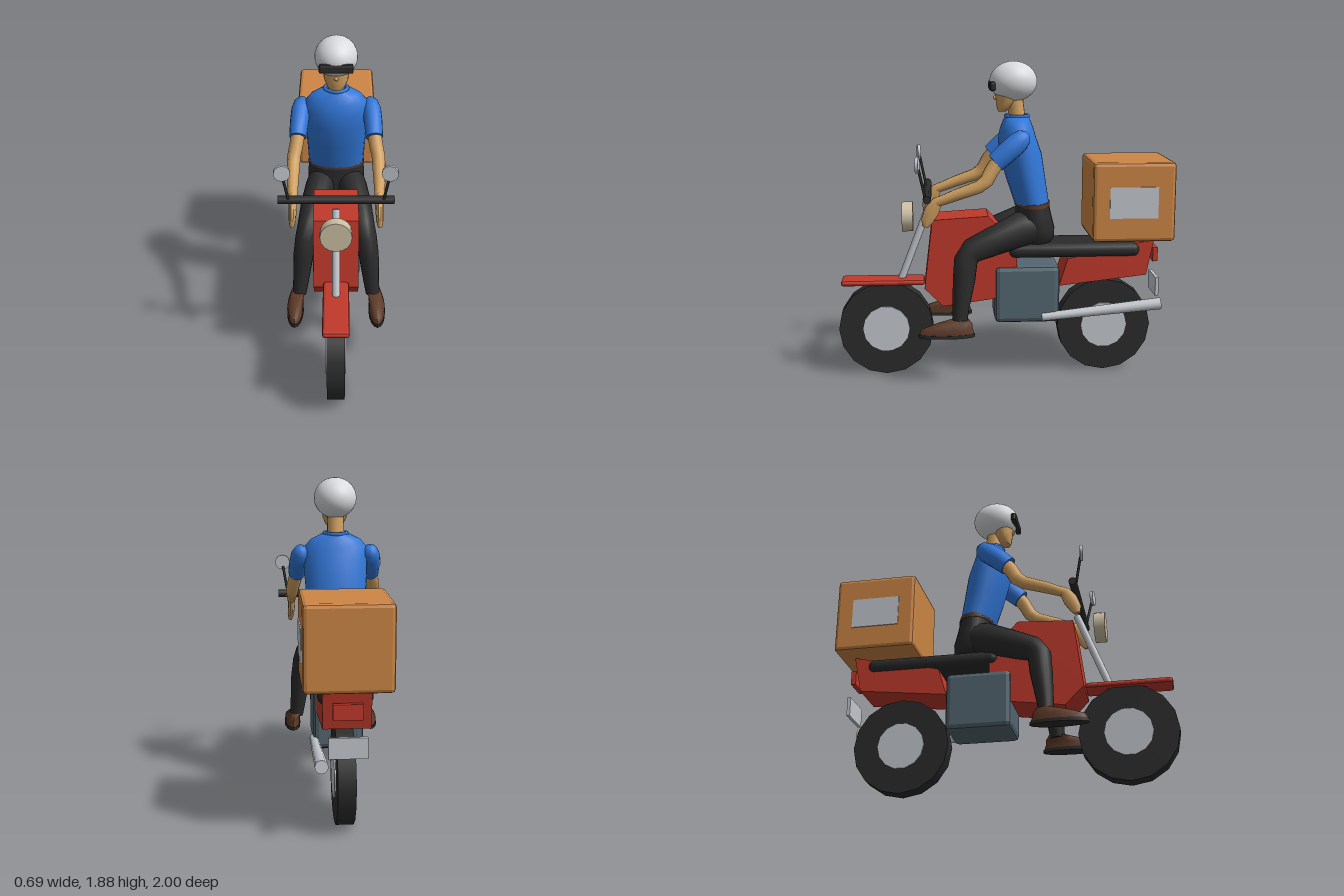
import * as THREE from 'three';
import { toCreasedNormals } from 'three/addons/utils/BufferGeometryUtils.js';
import { RoundedBoxGeometry } from 'three/addons/geometries/RoundedBoxGeometry.js';

const paint = (name, color) => {
  const m = new THREE.MeshStandardMaterial({ color });
  m.name = name;
  return m;
};

export function createModel() {
  const red = paint('red paint', 0xc0392b), black = paint('black', 0x2b2b2b);
  const silver = paint('silver', 0xc4c8ce), white = paint('helmet white', 0xd9dbde);
  const slate = paint('slate', 0x546670), cream = paint('lamp cream', 0xccc0a4);
  const orange = paint('cargo orange', 0xcd8645), blue = paint('shirt blue', 0x3177d8);
  const skin = paint('skin', 0xd0a060), brown = paint('shoe brown', 0x5c3a28);

  const root = new THREE.Group();
  const add = (name, geo, mat, x = 0, y = 0, z = 0) => {
    const m = new THREE.Mesh(geo, mat);
    m.name = name;
    m.position.set(x, y, z);
    root.add(m);
    return m;
  };
  const box = (w, h, d) => new THREE.BoxGeometry(w, h, d);
  const chamferBox = (w, h, d, r) => toCreasedNormals(new RoundedBoxGeometry(w, h, d, 1, r), 0.1);
  // Cylinder between two points
  const rod = (name, a, b, r0, r1, mat, sides = 12) => {
    const p = new THREE.Vector3(...a), q = new THREE.Vector3(...b);
    const dir = q.clone().sub(p);
    const m = add(name, new THREE.CylinderGeometry(r1, r0, dir.length(), sides), mat);
    m.position.copy(p).add(q).multiplyScalar(0.5);
    m.quaternion.setFromUnitVectors(new THREE.Vector3(0, 1, 0), dir.normalize());
    return m;
  };
  // Side profile of [z, y] points, extruded across x
  const slab = (name, pts, width, mat) => {
    const shape = new THREE.Shape(pts.map(([z, y]) => new THREE.Vector2(-z, y)));
    const geo = new THREE.ExtrudeGeometry(shape, { depth: width, bevelEnabled: false });
    geo.translate(0, 0, -width / 2).rotateY(Math.PI / 2);
    return add(name, geo, mat);
  };
  // Skin over elliptical rings [x, y, z, rx, rz], listed bottom to top
  const loft = (name, rings, mat, level = false, sides = 16, crease = 0.9) => {
    const up = new THREE.Vector3(0, 1, 0), pos = [], idx = [];
    const centres = rings.map(r => new THREE.Vector3(r[0], r[1], r[2]));
    const last = rings.length - 1;
    rings.forEach((r, j) => {
      const dir = centres[Math.min(j + 1, last)].clone().sub(centres[Math.max(j - 1, 0)]).normalize();
      const q = new THREE.Quaternion();
      if (!level) q.setFromUnitVectors(up, dir);
      for (let i = 0; i < sides; i++) {
        const a = (i / sides) * Math.PI * 2;
        const v = new THREE.Vector3(Math.cos(a) * r[3], 0, Math.sin(a) * r[4]);
        pos.push(...v.applyQuaternion(q).add(centres[j]).toArray());
      }
    });
    const bottom = pos.length / 3;
    pos.push(...centres[0].toArray(), ...centres[last].toArray());
    for (let i = 0; i < sides; i++) {
      const n = (i + 1) % sides;
      for (let j = 0; j < last; j++) {
        const a = j * sides + i, b = j * sides + n;
        idx.push(a, a + sides, b, b, a + sides, b + sides);
      }
      idx.push(bottom, i, n, bottom + 1, last * sides + n, last * sides + i);
    }
    const geo = new THREE.BufferGeometry();
    geo.setAttribute('position', new THREE.Float32BufferAttribute(pos, 3));
    geo.setIndex(idx);
    return add(name, toCreasedNormals(geo, crease), mat);
  };

  // Wheels
  for (const [name, z] of [['front', 0.715], ['rear', -0.61]]) {
    const tyre = new THREE.CylinderGeometry(0.285, 0.285, 0.1, 16).rotateZ(Math.PI / 2);
    const hub = new THREE.CylinderGeometry(0.14, 0.14, 0.116, 14).rotateZ(Math.PI / 2);
    add(name + 'Tyre', tyre, black, 0, 0.285, z);
    add(name + 'Hub', hub, silver, 0, 0.285, z);
  }

  // Bodywork
  add('frontFender', chamferBox(0.15, 0.036, 0.5, 0.015), red, 0, 0.573, 0.73);
  slab('frontBody', [[0.43, 0.965], [0.1, 0.985], [0, 0.88], [-0.07, 0.76], [-0.07, 0.5],
    [0.37, 0.44], [0.48, 0.55]], 0.26, red);
  slab('tailBody', [[-0.375, 0.72], [-0.325, 0.555], [-0.85, 0.615], [-0.895, 0.832]], 0.26, red);
  add('engineBlock', chamferBox(0.29, 0.35, 0.39, 0.03), slate, 0, 0.505, -0.133);
  add('seat', toCreasedNormals(new RoundedBoxGeometry(0.3, 0.085, 0.79, 3, 0.04), 0.7), black, 0, 0.77, -0.415);
  add('tailLight', box(0.16, 0.085, 0.03), red, 0, 0.727, -0.915);
  add('rearPlate', box(0.21, 0.115, 0.02), silver, 0, 0.533, -0.925);
  rod('exhaust', [0.14, 0.365, -0.22], [0.14, 0.437, -0.94], 0.025, 0.037, silver);

  // Steering
  rod('fork', [0, 0.57, 0.625], [0, 1.05, 0.44], 0.022, 0.022, silver);
  rod('headlight', [0, 0.965, 0.545], [0, 0.965, 0.61], 0.09, 0.09, cream, 16);
  rod('handlebar', [-0.325, 1.12, 0.457], [0.325, 1.12, 0.457], 0.024, 0.024, black, 10);
  for (const s of [1, -1]) {
    rod('mirrorStem', [s * 0.265, 1.13, 0.47], [s * 0.292, 1.29, 0.503], 0.008, 0.008, black, 8);
    const disc = new THREE.CylinderGeometry(0.047, 0.047, 0.018, 12).rotateX(Math.PI / 2);
    add('mirror', disc, silver, s * 0.295, 1.315, 0.51).rotation.y = s * -0.12;
  }

  // Cargo box with side panels
  add('cargoBox', chamferBox(0.48, 0.47, 0.49, 0.022), orange, 0, 1.075, -0.75);
  for (const s of [1, -1]) add('cargoPanel', box(0.008, 0.184, 0.285), silver, s * 0.242, 1.075, -0.747);

  // Rider: trunk
  loft('hips', [
    [0, 0.795, -0.19, 0.11, 0.08], [0, 0.83, -0.19, 0.155, 0.115], [0, 0.89, -0.19, 0.172, 0.118],
    [0, 0.97, -0.18, 0.172, 0.107], [0, 1.05, -0.17, 0.165, 0.1]], black, true);
  loft('belt', [[0, 1.03, -0.172, 0.17, 0.106], [0, 1.055, -0.17, 0.17, 0.106]], brown, true);
  loft('shirt', [
    [0, 1.045, -0.168, 0.166, 0.104], [0, 1.2, -0.13, 0.174, 0.118], [0, 1.34, -0.1, 0.185, 0.127],
    [0, 1.43, -0.08, 0.187, 0.115], [0, 1.49, -0.077, 0.18, 0.1], [0, 1.53, -0.077, 0.145, 0.085],
    [0, 1.56, -0.078, 0.085, 0.07]], blue, true, 20);
  const collar = new THREE.TorusGeometry(0.066, 0.012, 6, 18).rotateX(Math.PI / 2);
  add('collar', collar, blue, 0, 1.564, -0.078);

  // Rider: head
  rod('neck', [0, 1.54, -0.08], [0, 1.69, -0.065], 0.05, 0.046, skin, 14);
  const face = loft('face', [
    [0, 1.592, 0.005, 0.035, 0.024], [0, 1.61, -0.003, 0.052, 0.038],
    [0, 1.65, -0.015, 0.07, 0.056], [0, 1.72, -0.03, 0.078, 0.08]], skin, true);
  face.position.z = 0.005;
  add('nose', new THREE.SphereGeometry(0.012, 8, 6), skin, 0, 1.672, 0.052);
  add('helmet', new THREE.SphereGeometry(1, 28, 18), white, 0, 1.767, -0.057).scale.set(0.124, 0.118, 0.141);
  add('visor', chamferBox(0.196, 0.055, 0.034, 0.012), black, 0, 1.742, 0.07);

  // Rider: limbs, mirrored
  for (const s of [1, -1]) {
    const limb = (name, rings, mat, level, sides) =>
      loft(name, rings.map(([x, ...rest]) => [s * x, ...rest]), mat, level, sides);
    limb('leg', [
      [0.222, 0.37, 0.275, 0.042, 0.044], [0.212, 0.45, 0.268, 0.047, 0.05], [0.195, 0.62, 0.247, 0.06, 0.066],
      [0.18, 0.735, 0.235, 0.062, 0.07], [0.165, 0.785, 0.2, 0.066, 0.074], [0.135, 0.845, 0.05, 0.08, 0.088],
      [0.1, 0.9, -0.1, 0.088, 0.105], [0.085, 0.92, -0.2, 0.08, 0.095]], black);
    limb('sole', [[0.245, 0.285, 0.352, 0.05, 0.167], [0.245, 0.305, 0.352, 0.05, 0.167]], black, true);
    limb('shoe', [
      [0.245, 0.304, 0.352, 0.047, 0.162], [0.245, 0.335, 0.35, 0.047, 0.15],
      [0.238, 0.363, 0.312, 0.042, 0.11], [0.228, 0.385, 0.275, 0.042, 0.055]], brown, true);
    limb('sleeve', [
      [0.222, 1.315, 0.062, 0.05, 0.058], [0.216, 1.375, -0.005, 0.054, 0.062], [0.208, 1.43, -0.07, 0.055, 0.062],
      [0.2, 1.462, -0.105, 0.045, 0.048], [0.195, 1.478, -0.125, 0.02, 0.022]], blue);
    limb('arm', [
      [0.243, 1.09, 0.405, 0.025, 0.027], [0.247, 1.135, 0.29, 0.033, 0.034], [0.247, 1.18, 0.16, 0.038, 0.038],
      [0.245, 1.215, 0.115, 0.039, 0.042], [0.23, 1.28, 0.08, 0.04, 0.043], [0.215, 1.37, 0.01, 0.042, 0.044]],
    skin, false, 10);
    limb('hand', [
      [0.248, 0.95, 0.47, 0.012, 0.018], [0.246, 0.985, 0.46, 0.02, 0.036], [0.243, 1.045, 0.43, 0.023, 0.044],
      [0.243, 1.095, 0.4, 0.024, 0.032], [0.244, 1.115, 0.375, 0.018, 0.02]], skin, false, 10);
  }
  return root;
}
